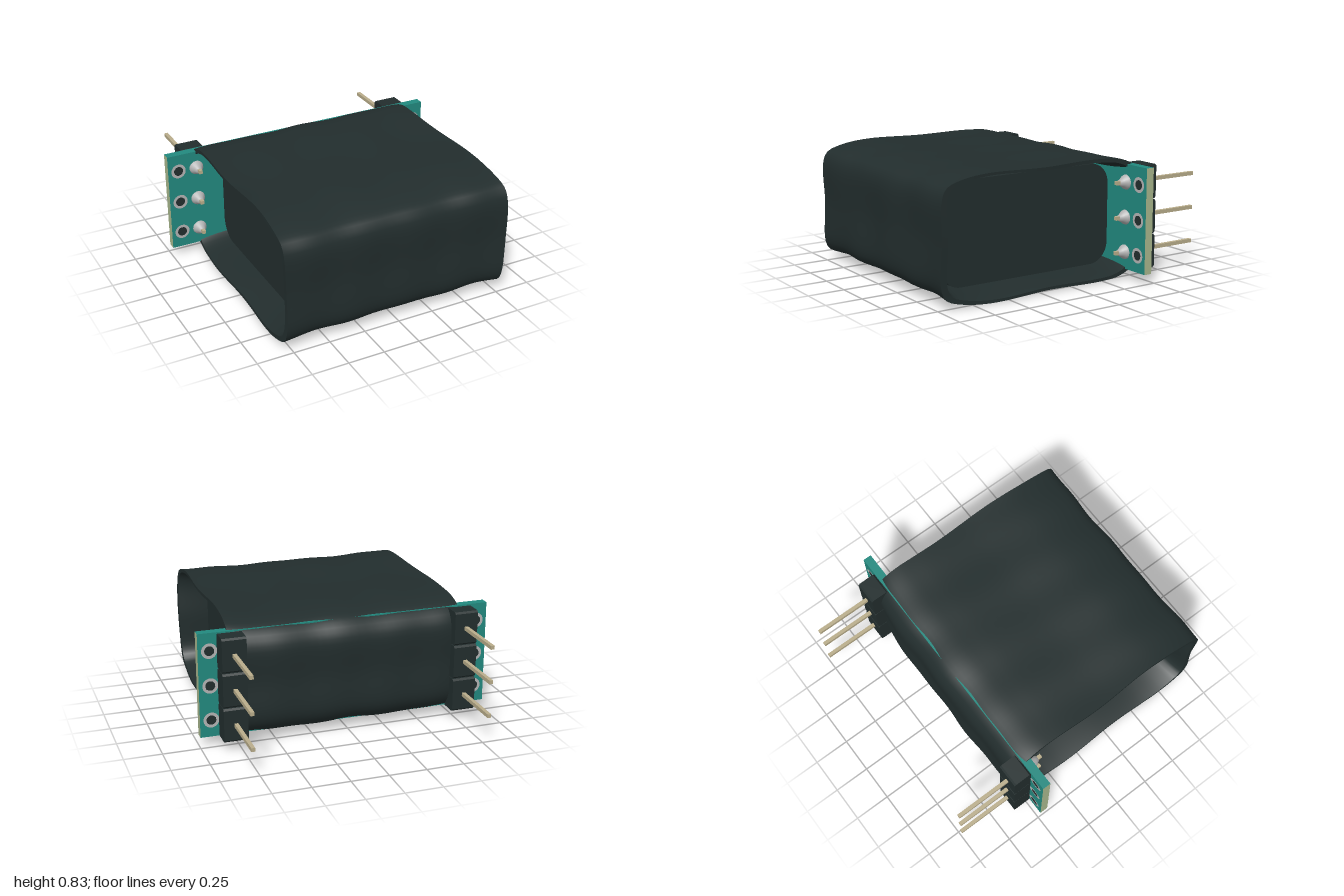
import * as THREE from 'three';
import { mergeGeometries } from 'three/addons/utils/BufferGeometryUtils.js';

const mat = (name, color) => new THREE.MeshStandardMaterial({ name, color });
const CY = 0.425, CZ = 0.23;               // centre of the sleeve section
const ROWS_Y = [0.19, 0.425, 0.66];        // pin and hole heights

// Smooth-shaded band through rows of points, each row a closed loop
function band(rows) {
  const n = rows[0].length, pos = rows.flat(2), idx = [];
  for (let i = 0; i < rows.length - 1; i++) {
    for (let j = 0; j < n; j++) {
      const a = i * n + j, b = a + n, c = i * n + (j + 1) % n, d = c + n;
      idx.push(a, b, c, b, d, c);
    }
  }
  const g = new THREE.BufferGeometry();
  g.setAttribute('position', new THREE.Float32BufferAttribute(pos, 3));
  g.setIndex(idx);
  g.computeVertexNormals();
  return g;
}

// Wrinkled shrink sleeve, open at both sides
function sleeveGeometry() {
  const half = [[0.99, 0.425], [0.99, 0.7], [0.955, 0.77], [0.85, 0.81], [0.65, 0.835], [0.2, 0.825],
    [-0.2, 0.83], [-0.37, 0.815], [-0.47, 0.77], [-0.525, 0.68], [-0.525, 0.425]];
  const lower = half.slice(1, -1).reverse().map(([z, y]) => [z, 2 * CY - y]);
  const curve = new THREE.CatmullRomCurve3(
    [...half, ...lower].map(([z, y]) => new THREE.Vector3(0, y, z)), true, 'centripetal');
  const loop = curve.getSpacedPoints(120).slice(0, -1);
  const row = (t, inner) => {
    const mid = 1 - Math.pow(Math.abs(t), 6);
    const k = inner ? 0.95 - 0.045 * mid : 1;
    return loop.map((p, j) => {
      const a = j / loop.length * Math.PI * 2;
      const w = inner ? 0 : 0.005 * Math.sin(8 * t + 3 * a) + 0.004 * Math.sin(13 * t - 2 * a);
      const dz = p.z - CZ, dy = p.y - CY;
      const sz = dz > 0 ? 1 - 0.012 * mid : 1 + 0.04 * mid;
      return [t * (0.793 + 0.007 * Math.sin(5 * a + t)), CY + dy * (k * (1 - 0.02 * mid) + w), CZ + dz * (k * sz + w)];
    });
  };
  const outer = [], inner = [];
  for (let i = 0; i <= 48; i++) {
    const t = Math.sin((i / 24 - 1) * Math.PI / 2);
    outer.push(row(t, false));
    inner.push(row(t, true));
  }
  return mergeGeometries([
    band(outer), band([...inner].reverse()),
    band([outer[48], inner[48]]), band([inner[0], outer[0]])]);
}

// Rounded block inside the sleeve
function coreGeometry() {
  const s = new THREE.Shape(), x0 = -0.88, x1 = 0.42, y0 = 0.085, y1 = 0.765, r = 0.14;
  s.moveTo(x0 + r, y0);
  s.lineTo(x1 - r, y0);
  s.absarc(x1 - r, y0 + r, r, -Math.PI / 2, 0);
  s.absarc(x1 - r, y1 - r, r, 0, Math.PI / 2);
  s.absarc(x0 + r, y1 - r, r, Math.PI / 2, Math.PI);
  s.absarc(x0 + r, y0 + r, r, Math.PI, Math.PI * 1.5);
  const g = new THREE.ExtrudeGeometry(s, { depth: 1.2, bevelEnabled: false, curveSegments: 10 });
  return g.translate(0, 0, -0.6).rotateY(Math.PI / 2);
}

// Header segment with chamfered corners, seen from the side
function headerGeometry() {
  const w = 0.065, h = 0.1145, c = 0.012;
  const s = new THREE.Shape([[-w + c, -h], [w - c, -h], [w, -h + c], [w, h - c], [w - c, h], [-w + c, h], [-w, h - c], [-w, -h + c]]
    .map(([x, y]) => new THREE.Vector2(x, y)));
  return new THREE.ExtrudeGeometry(s, { depth: 0.16, bevelEnabled: false }).translate(0, 0, -0.08).rotateY(Math.PI / 2);
}

export function createModel() {
  const black = mat('black plastic', 0x222d2d);
  const teal = mat('teal board', 0x22897f);
  const edge = mat('board edge', 0xa8b78d);
  const silver = mat('solder', 0xb4b4b4);
  const brass = mat('pin metal', 0xb9ad8b);

  const model = new THREE.Group();
  model.name = 'wrappedModule';
  const add = (name, geo, material, x = 0, y = 0, z = 0, parent = model) => {
    const m = new THREE.Mesh(geo, material);
    m.name = name;
    m.position.set(x, y, z);
    parent.add(m);
    return m;
  };

  add('sleeve', sleeveGeometry(), black);
  add('core', coreGeometry(), black);
  add('circuitBoard', new THREE.BoxGeometry(1.99, 0.705, 0.058), [edge, edge, teal, teal, teal, teal], 0, 0.4275, -0.449);

  const header = headerGeometry();
  const pin = new THREE.BoxGeometry(0.025, 0.025, 0.665);
  const ring = new THREE.RingGeometry(0.032, 0.052, 28);
  const hole = new THREE.CircleGeometry(0.033, 28);
  const solder = new THREE.LatheGeometry(
    [[0.05, 0], [0.045, 0.015], [0.03, 0.035], [0.02, 0.055], [0, 0.06]].map(([x, y]) => new THREE.Vector2(x, y)), 20).rotateX(Math.PI / 2);

  for (const side of [1, -1]) {
    const group = new THREE.Group();
    group.name = side > 0 ? 'leftConnector' : 'rightConnector';
    model.add(group);
    for (const y of ROWS_Y) {
      add('headerSegment', header, black, side * 0.79, y, -0.544, group);
      add('pin', pin, brass, side * 0.79, y, -0.6675, group);
      add('solderJoint', solder, silver, side * 0.79, y, -0.42, group);
      // plated holes on both faces of the board
      for (const face of [1, -1]) {
        const z = -0.449 + face * 0.0305;
        for (const [name, geo, m] of [['holeRing', ring, silver], ['hole', hole, black]]) {
          add(name, geo, m, side * 0.92, y, z, group).rotation.y = face > 0 ? 0 : Math.PI;
        }
      }
    }
  }
  return model;
}
